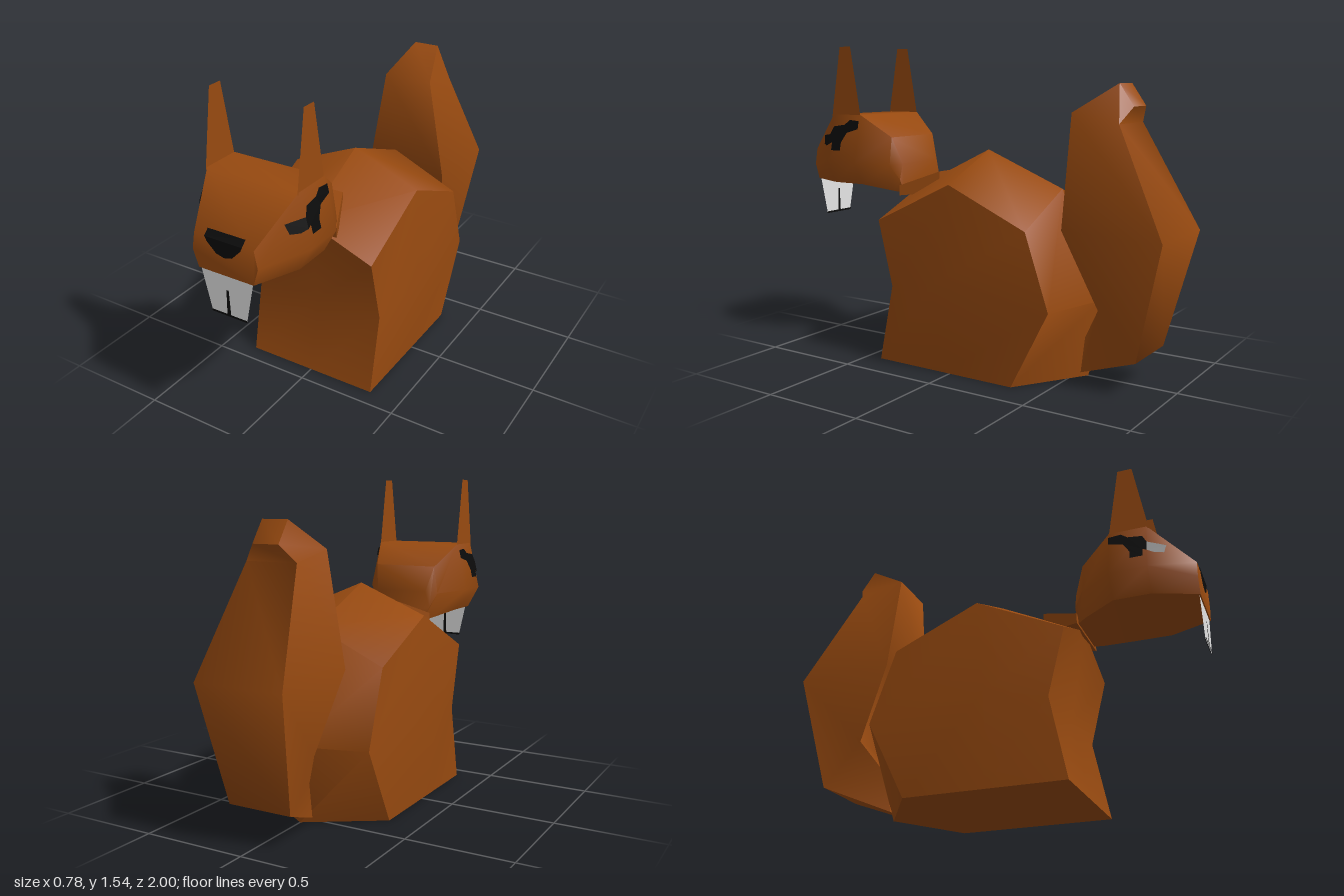
import * as THREE from 'three';
import { toCreasedNormals } from 'three/addons/utils/BufferGeometryUtils.js';

const mat = (name, color) => {
  const m = new THREE.MeshStandardMaterial({ color, side: THREE.DoubleSide });
  m.name = name;
  return m;
};

// Skin a list of rings (counter-clockwise seen from the first end), capped at both ends
function loft(rings, crease) {
  const n = rings[0].length, index = [];
  for (let i = 0; i < rings.length - 1; i++) {
    for (let j = 0; j < n; j++) {
      const a = i * n + j, b = i * n + (j + 1) % n;
      index.push(a, a + n, b + n, a, b + n, b);
    }
  }
  const last = (rings.length - 1) * n;
  for (let j = 1; j < n - 1; j++) index.push(0, j, j + 1, last, last + j + 1, last + j);
  const g = new THREE.BufferGeometry();
  g.setAttribute('position', new THREE.Float32BufferAttribute(rings.flat(2), 3));
  g.setIndex(index);
  return toCreasedNormals(g, crease);
}

// Flat outline whose points are moved into place by a rule
function patch(points, place) {
  const g = new THREE.ShapeGeometry(new THREE.Shape(points.map(p => new THREE.Vector2(...p))));
  const pos = g.attributes.position;
  for (let i = 0; i < pos.count; i++) pos.setXYZ(i, ...place(pos.getX(i), pos.getY(i)));
  g.computeVertexNormals();
  return g;
}

// Head sections: z, then height and half width at the jaw, cheek and crown
const headSections = [
  [1.0, 0.85, 0.14, 0.93, 0.165, 1.01, 0.15],
  [0.8, 0.85, 0.225, 0.96, 0.285, 1.2, 0.23],
  [0.62, 0.85, 0.225, 0.96, 0.285, 1.2, 0.23],
  [0.47, 0.82, 0.16, 0.95, 0.19, 1.09, 0.17],
  [0.425, 0.81, 0.13, 0.88, 0.165, 0.96, 0.14],
];

// Half width of the upper cheek at a given z and y
function cheekX(z, y) {
  const t = THREE.MathUtils.clamp((z - 0.8) / 0.2, 0, 1);
  const s = headSections[1].map((v, i) => THREE.MathUtils.lerp(v, headSections[0][i], t));
  return THREE.MathUtils.mapLinear(y, s[3], s[5], s[4], s[6]);
}

export function createModel() {
  const model = new THREE.Group();
  model.name = 'squirrel';
  const fur = mat('brown fur', 0x984a10);
  const black = mat('black', 0x0b0b0b);
  const white = mat('tooth white', 0xe4e4e4);
  const add = (name, geometry, material) => {
    const m = new THREE.Mesh(geometry, material);
    m.name = name;
    model.add(m);
    return m;
  };

  // Body: 2x2x2 box reshaped; each entry is [centre y, z], [side x, y, z]
  const cage = [
    [[[0, -0.56], [0.34, 0, -0.34]], [[0, 0], [0.34, 0, 0.04]], [[0, 0.42], [0.34, 0, 0.42]]],
    [[[0.37, -0.62], [0.34, 0.37, -0.53]], [[0.43, 0], [0.39, 0.43, 0.06]], [[0.38, 0.34], [0.34, 0.38, 0.34]]],
    [[[0.875, -0.41], [0.34, 0.72, -0.41]], [[1.04, 0], [0.34, 0.9, 0]], [[0.835, 0.42], [0.34, 0.7, 0.42]]],
  ];
  const body = new THREE.BoxGeometry(2, 2, 2, 2, 2, 2);
  const pos = body.attributes.position;
  for (let i = 0; i < pos.count; i++) {
    const sx = Math.round(pos.getX(i));
    const [c, s] = cage[Math.round(pos.getY(i)) + 1][Math.round(pos.getZ(i)) + 1];
    if (sx === 0) pos.setXYZ(i, 0, c[0], c[1]);
    else pos.setXYZ(i, sx * s[0], s[1], s[2]);
  }
  add('body', toCreasedNormals(body, 0.9), fur);

  // Tail: front y, z, back y, z, half width, from the tip down
  const tail = [
    [1.365, -0.72, 1.265, -0.79, 0.065],
    [1.235, -0.52, 1.19, -0.75, 0.127],
    [0.72, -0.525, 0.705, -1.0, 0.22],
    [0.365, -0.68, 0.155, -0.865, 0.157],
    [0.2, -0.57, 0.03, -0.55, 0.06],
  ].map(([fy, fz, by, bz, w]) => [[w, fy, fz], [w, by, bz], [-w, by, bz], [-w, fy, fz]]);
  add('tail', loft(tail, 1.1), fur);

  // Head and the neck that sinks into the back
  const head = headSections.map(([z, yb, wb, ym, wm, yt, wt]) =>
    [[wb, yb, z], [wm, ym, z], [wt, yt, z], [-wt, yt, z], [-wm, ym, z], [-wb, yb, z]]);
  add('head', loft(head, 0.95), fur);
  const neck = [[0.43, 0.8, 0.85, 0.165], [0.24, 0.82, 0.925, 0.08]].map(([z, yb, yt, w]) =>
    [[w, yb, z], [w, yt, z], [-w, yt, z], [-w, yb, z]]);
  add('neck', loft(neck, 0.9), fur);

  // Ears and eye markings, mirrored; outlines are z, y
  const ear = [[0.62, 1.19], [0.81, 1.19], [0.75, 1.54], [0.68, 1.54]];
  const eyeRear = [[0.62, 1.13], [0.69, 1.11], [0.72, 1.06], [0.72, 1.02], [0.78, 1.02], [0.78, 1.06],
    [0.8, 1.05], [0.8, 1.1], [0.78, 1.14], [0.71, 1.15], [0.68, 1.175], [0.62, 1.17]];
  const eyeFront = [[0.8, 1.05], [0.83, 1.04], [0.87, 1.045], [0.88, 1.09], [0.8, 1.1]];
  for (const side of [1, -1]) {
    const label = side > 0 ? 'left' : 'right';
    add(label + 'Ear', patch(ear, (z, y) => [side * 0.23, y, z]), fur);
    const onCheek = (z, y) => [side * (cheekX(z, y) + 0.008), y, z];
    add(label + 'EyeRear', patch(eyeRear, onCheek), black);
    add(label + 'EyeFront', patch(eyeFront, onCheek), black);
  }

  // Nose wraps from the muzzle front onto its sloping top
  const nose = [[-0.095, 1.01], [-0.085, 0.99], [-0.04, 0.945], [0, 0.935], [0.04, 0.945], [0.085, 0.99], [0.095, 1.01]];
  add('nose', patch(nose, (x, y) => [x, y, 1.003]), black);
  const noseTop = [[-0.095, 1.01], [0.095, 1.01], [0.095, 1.035], [-0.095, 1.035]];
  add('noseTop', patch(noseTop, (x, y) => [x, y, 1.004 - (y - 1.01) * 1.05]), black);

  // Front teeth with a dark gap and lower edge on both faces
  const teeth = [[-0.135, 0.86], [-0.09, 0.655], [0.09, 0.655], [0.135, 0.86]];
  add('teeth', patch(teeth, (x, y) => [x, y, 0.994]), white);
  const gap = [[-0.01, 0.655], [0.01, 0.655], [0.006, 0.78], [-0.006, 0.78]];
  const rim = [[-0.09, 0.652], [0.09, 0.652], [0.092, 0.662], [-0.092, 0.662]];
  for (const z of [0.991, 0.997]) {
    add('toothGap', patch(gap, (x, y) => [x, y, z]), black);
    add('toothEdge', patch(rim, (x, y) => [x, y, z]), black);
  }
  return model;
}
